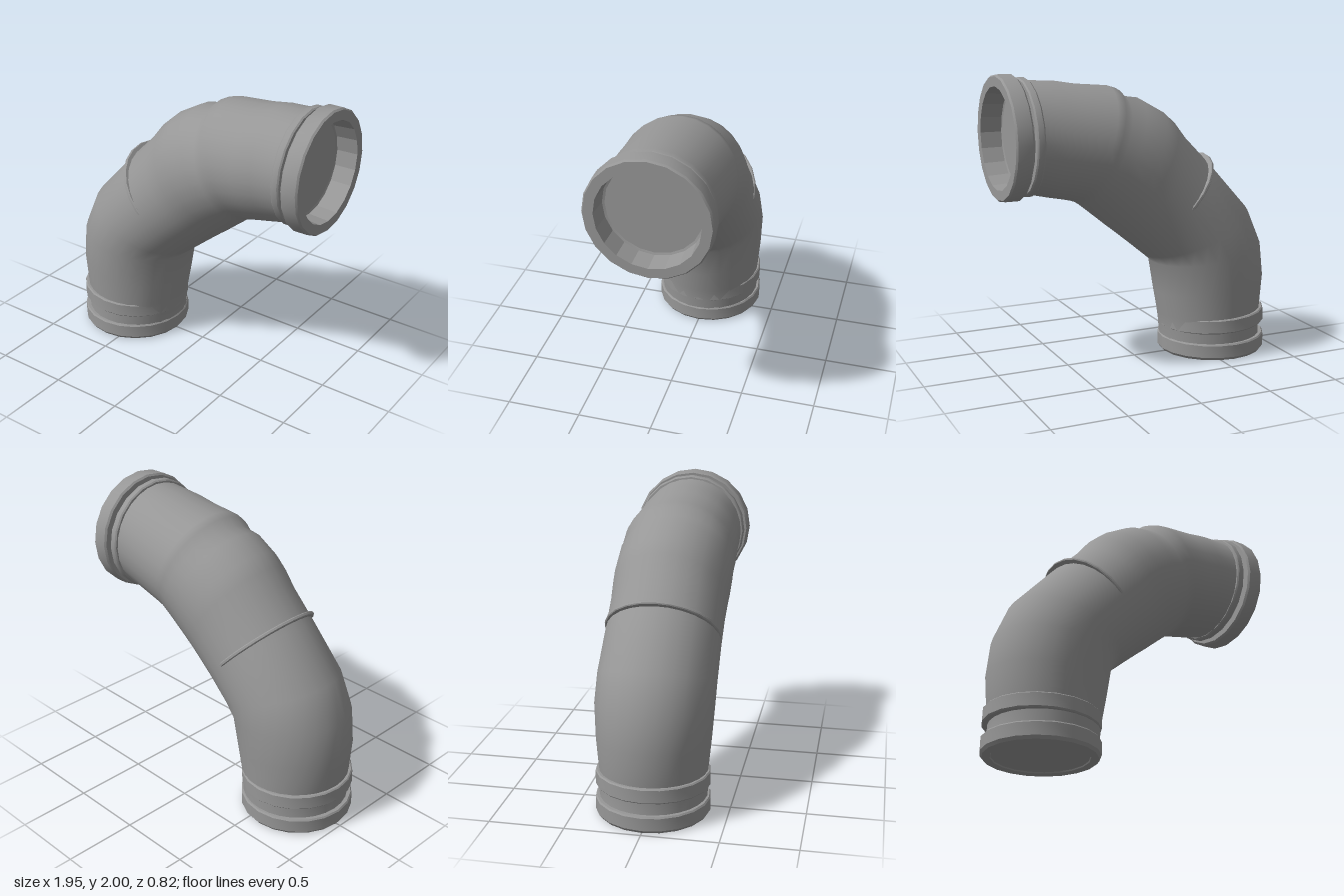
import * as THREE from 'three';
import { toCreasedNormals } from 'three/addons/utils/BufferGeometryUtils.js';

const material = new THREE.MeshStandardMaterial({ color: 0x979797 });

// Turned part from a [radius, height] profile running outward and upward
function turned(name, profile, segments = 20, crease = 0.6) {
  const points = profile.map(([r, y]) => new THREE.Vector2(r, y));
  const geometry = toCreasedNormals(new THREE.LatheGeometry(points, segments), crease);
  const mesh = new THREE.Mesh(geometry, material);
  mesh.name = name;
  return mesh;
}

// Bevelled solid band centred on its own origin
function band(name, radius, height, bevel, segments) {
  const h = height / 2;
  return turned(name, [
    [0, -h], [radius - bevel, -h], [radius, -h + bevel],
    [radius, h - bevel], [radius - bevel, h], [0, h],
  ], segments);
}

// Bent pipe: elliptical sections spanning an outer and an inner bend point
function pipeBody() {
  // outer x, outer y, inner x, inner y, half depth
  const sections = [
    [-0.95, 0.08, -0.23, 0.08, 0.357],
    [-0.935, 0.19, -0.225, 0.18, 0.356],
    [-0.95, 0.31, -0.21, 0.28, 0.36],
    [-0.967, 0.53, -0.18, 0.44, 0.377],
    [-0.937, 0.77, -0.145, 0.66, 0.392],
    [-0.83, 1.02, -0.08, 0.715, 0.392],
    [-0.55, 1.33, 0.04, 0.815, 0.387],
    [-0.35, 1.535, 0.15, 0.905, 0.387],
    [-0.265, 1.645, 0.22, 0.96, 0.392],
    [-0.18, 1.72, 0.28, 1.01, 0.397],
    [-0.02, 1.81, 0.36, 1.075, 0.397],
    [0.09, 1.825, 0.41, 1.115, 0.392],
    [0.14, 1.88, 0.44, 1.135, 0.395],
    [0.2, 1.9, 0.47, 1.145, 0.395],
    [0.43, 1.92, 0.55, 1.165, 0.385],
    [0.58, 1.945, 0.65, 1.185, 0.375],
    [0.78, 1.955, 0.78, 1.215, 0.367],
  ];
  const sides = 28;
  const positions = [];
  const indices = [];
  sections.forEach(([ox, oy, ix, iy, depth], s) => {
    for (let k = 0; k < sides; k++) {
      const a = (k / sides) * Math.PI * 2;
      const t = (1 - Math.cos(a)) / 2;
      positions.push(ox + (ix - ox) * t, oy + (iy - oy) * t, Math.sin(a) * depth);
      if (s === 0) continue;
      const n = (k + 1) % sides;
      const low = (s - 1) * sides;
      const high = s * sides;
      indices.push(low + k, low + n, high + n, low + k, high + n, high + k);
    }
  });
  const geometry = new THREE.BufferGeometry();
  geometry.setAttribute('position', new THREE.Float32BufferAttribute(positions, 3));
  geometry.setIndex(indices);
  geometry.computeVertexNormals();
  const mesh = new THREE.Mesh(geometry, material);
  mesh.name = 'pipeBody';
  return mesh;
}

export function createModel() {
  const group = new THREE.Group();
  group.name = 'pipeElbow';
  group.add(pipeBody());

  // Lower end: rim with a faintly recessed face, and a tilted band above it
  const lowerRim = turned('lowerRim', [
    [0, 0.012], [0.31, 0.012], [0.315, 0.004], [0.365, 0], [0.38, 0.02],
    [0.38, 0.105], [0.372, 0.115], [0, 0.115],
  ]);
  lowerRim.position.x = -0.6;
  group.add(lowerRim);

  const lowerBand = band('lowerBand', 0.378, 0.1, 0.008, 20);
  lowerBand.position.set(-0.598, 0.243, 0);
  lowerBand.rotation.z = -0.03;
  group.add(lowerBand);

  // Seam ridge, standing proud of the outer half of the bend only
  const seam = band('seamRidge', 0.39, 0.026, 0.006, 24);
  seam.position.set(-0.267, 1.112, 0);
  seam.rotation.z = -0.82;
  group.add(seam);

  // Upper end: band, groove and wide rim around a faceted, tapered socket
  const upperRim = turned('upperRim', [
    [0.355, 0.765], [0.38, 0.768], [0.388, 0.778], [0.388, 0.815], [0.38, 0.825],
    [0.34, 0.825], [0.34, 0.85], [0.398, 0.85], [0.41, 0.862], [0.41, 0.958],
    [0.4, 0.97], [0.335, 0.97],
  ]);
  const socket = turned('socketLining', [
    [0.335, 0.97], [0.325, 0.83], [0.31, 0.825], [0, 0.825],
  ], 20, 0.2);
  for (const part of [upperRim, socket]) {
    part.rotation.z = -Math.PI / 2;
    part.position.y = 1.588;
    group.add(part);
  }

  return group;
}
